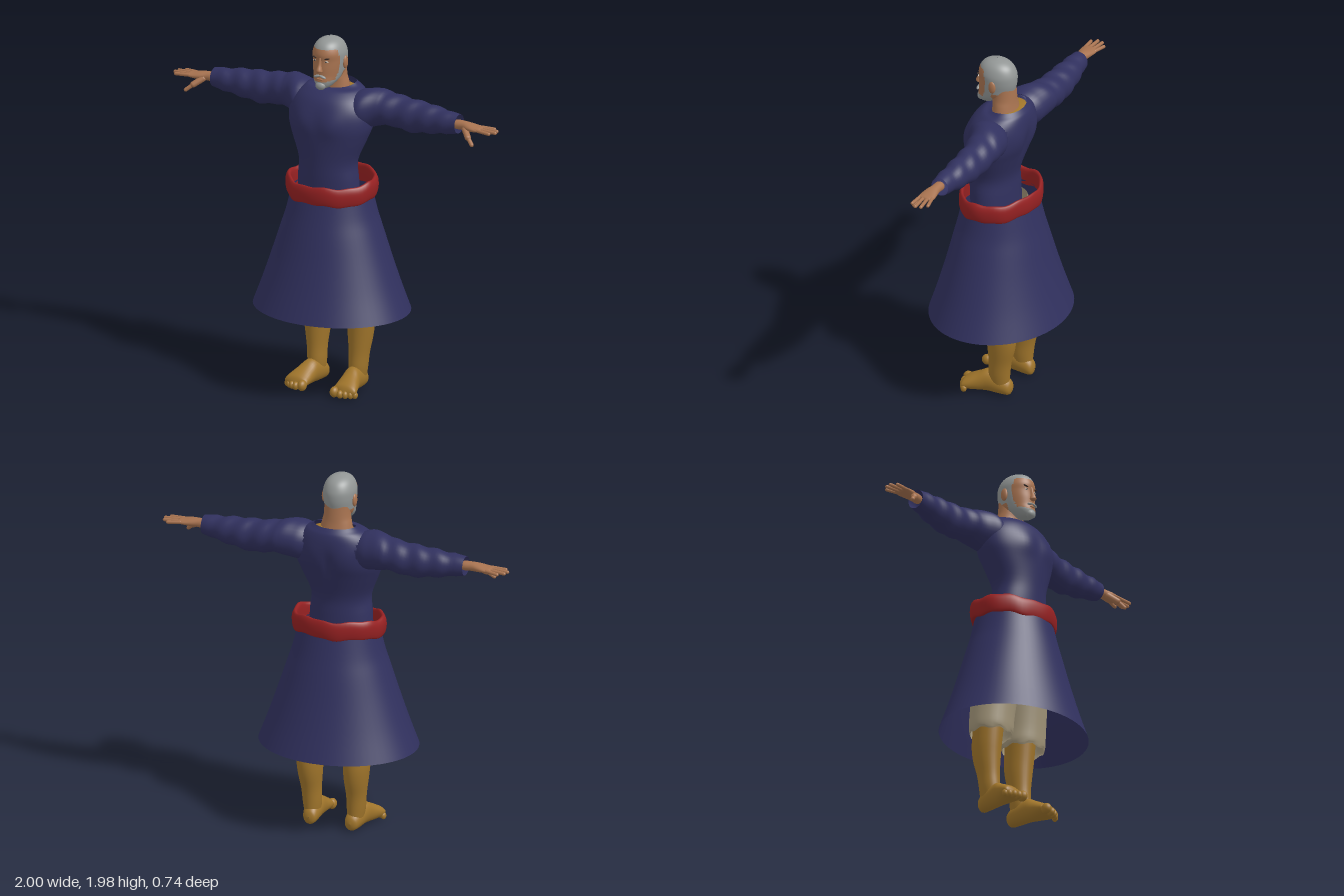
import * as THREE from 'three';

const mat = (name, color, side = THREE.FrontSide) => {
  const m = new THREE.MeshStandardMaterial({ color, side });
  m.name = name;
  return m;
};

// Smooth scalar spline through four neighbours
const spline = (a, b, c, d, t) =>
  b + 0.5 * t * (c - a + t * (2 * a - 5 * b + 4 * c - d + t * (3 * (b - c) + d - a)));

// Skin over elliptical rings [t, centre1, centre2, radius1, radius2] along an axis.
// pick(point) gives the material index of a face, or -1 to leave it out.
function loft(rings, axis = 'y', { n = 32, steps = 4, warp, pick } = {}) {
  const pts = [], lists = [];
  const last = rings.length - 1;
  const rows = last * steps + 1;
  for (let j = 0; j < rows; j++) {
    const k = Math.min(Math.floor(j / steps), last - 1);
    const f = j / steps - k;
    const at = (i) => rings[Math.max(0, Math.min(last, i))];
    const [t, c1, c2, r1, r2] = rings[0].map((_, i) =>
      spline(at(k - 1)[i], at(k)[i], at(k + 1)[i], at(k + 2)[i], f));
    for (let i = 0; i < n; i++) {
      const a = (i / n) * Math.PI * 2;
      const u = c1 + Math.max(r1, 0.0002) * Math.cos(a);
      const v = c2 + Math.max(r2, 0.0002) * Math.sin(a);
      const p = axis === 'y' ? new THREE.Vector3(u, t, v)
        : axis === 'x' ? new THREE.Vector3(t, u, v) : new THREE.Vector3(u, v, t);
      if (warp) warp(p, a, j / (rows - 1));
      pts.push(p);
    }
  }
  for (let j = 0; j < rows - 1; j++) for (let i = 0; i < n; i++) {
    const a = j * n + i, b = j * n + (i + 1) % n, c = a + n, d = b + n;
    const mid = pts[a].clone().add(pts[d]).multiplyScalar(0.5);
    const m = pick ? pick(mid) : 0;
    if (m < 0) continue;
    (lists[m] ||= []).push(...(axis === 'y' ? [a, c, b, b, c, d] : [a, b, c, b, d, c]));
  }
  const g = new THREE.BufferGeometry().setFromPoints(pts);
  g.setIndex(lists.flat());
  let start = 0;
  if (lists.length > 1) lists.forEach((l, m) => { g.addGroup(start, l.length, m); start += l.length; });
  g.computeVertexNormals();
  return g;
}

// Mirror a geometry across x = 0, keeping faces outward
function mirrored(geo) {
  const g = geo.clone().scale(-1, 1, 1);
  const ix = g.index.array;
  for (let i = 0; i < ix.length; i += 3) [ix[i], ix[i + 1]] = [ix[i + 1], ix[i]];
  return g;
}

function capsule(a, b, r) {
  const A = new THREE.Vector3(...a), B = new THREE.Vector3(...b), d = B.clone().sub(A);
  const g = new THREE.CapsuleGeometry(r, d.length(), 5, 12);
  g.applyQuaternion(new THREE.Quaternion().setFromUnitVectors(new THREE.Vector3(0, 1, 0), d.normalize()));
  return g.translate(...A.add(B).multiplyScalar(0.5).toArray());
}

const blob = (x, y, z, rx, ry, rz, tilt = 0) =>
  new THREE.SphereGeometry(1, 20, 14).scale(rx, ry, rz).rotateZ(tilt).translate(x, y, z);

// Ring given by half width, front z and back z
const body = (y, w, front, back) => [y, 0, (front + back) / 2, w, (front - back) / 2];

export function createModel() {
  const model = new THREE.Group();
  model.name = 'robedMan';
  const navy = mat('navyCloth', 0x31315f, THREE.DoubleSide);
  const red = mat('redSash', 0x962122, THREE.DoubleSide);
  const tan = mat('ochreLegs', 0xa0752b);
  const skin = mat('skin', 0xa87350);
  const grey = mat('greyHair', 0x929695);
  const linen = mat('linenTrousers', 0xa3967a, THREE.DoubleSide);
  const dark = mat('darkBrow', 0x3a2c26);
  const white = mat('eyeWhite', 0xd0c8bc);

  const add = (name, geo, material) => {
    const m = new THREE.Mesh(geo, material);
    m.name = name;
    model.add(m);
  };
  const pair = (name, geo, material) => {
    add(name + 'Left', geo, material);
    add(name + 'Right', mirrored(geo), material);
  };

  // Skirt and sash
  add('skirt', loft([[0.46, 0, 0, 0.438, 0.37], [0.6, 0, 0, 0.385, 0.327], [0.75, 0, 0, 0.333, 0.286],
    [0.9, 0, 0, 0.283, 0.25], [1.0, 0, 0, 0.25, 0.226], [1.12, 0, 0, 0.222, 0.2]], 'y', { n: 64 }), navy);
  add('sash', loft([[1.1, 0, 0, 0.225, 0.192], [1.095, 0, 0, 0.248, 0.206], [1.13, 0, 0, 0.258, 0.214],
    [1.17, 0, 0, 0.257, 0.213], [1.195, 0, 0, 0.243, 0.203], [1.18, 0, 0, 0.226, 0.19],
    [1.1, 0, 0, 0.225, 0.192]], 'y', {
    n: 64,
    warp: (p, a) => {
      p.y += -p.z * 0.09 + 0.005 * Math.sin(5 * a + 1) + 0.003 * Math.sin(11 * a);
      p.multiply(new THREE.Vector3(1 + 0.012 * Math.sin(7 * a), 1, 1 + 0.012 * Math.sin(6 * a)));
    },
  }), red);

  // Tunic body, with chest and spine modelling and open armholes
  add('tunicBody', loft([body(1.08, 0.18, 0.15, -0.09), body(1.2, 0.174, 0.158, -0.088),
    body(1.3, 0.168, 0.163, -0.09), body(1.42, 0.215, 0.172, -0.128), body(1.5, 0.243, 0.172, -0.155),
    body(1.58, 0.24, 0.16, -0.165), body(1.64, 0.21, 0.135, -0.165), body(1.68, 0.17, 0.095, -0.157),
    body(1.7, 0.135, 0.058, -0.145), body(1.715, 0.115, 0.035, -0.132)], 'y', {
    n: 64,
    warp: (p) => {
      const bump = (x, y, s) => Math.exp(-(((Math.abs(p.x) - x) / s) ** 2) - ((p.y - y) / 0.07) ** 2);
      if (p.z > 0.05) p.z += 0.016 * bump(0.09, 1.52, 0.07);
      if (p.z < -0.08) p.z += 0.014 * bump(0, 1.5, 0.025) - 0.008 * bump(0.1, 1.56, 0.06);
      if (p.y > 1.69 && p.z > -0.05) p.y -= (p.y - 1.69) * 0.8 * Math.min(1, (p.z + 0.05) / 0.08);
    },
    pick: (p) => (Math.abs(p.x) > 0.12 && Math.hypot(p.y - 1.595, p.z + 0.05) < 0.08 ? -1 : 0),
  }), navy);

  // Sleeves, open at the cuff and softly creased
  pair('sleeve', loft([[0.15, 1.59, -0.025, 0.092, 0.1], [0.2, 1.592, -0.03, 0.108, 0.115],
    [0.27, 1.602, -0.055, 0.1, 0.1], [0.35, 1.597, -0.067, 0.087, 0.09], [0.45, 1.584, -0.066, 0.09, 0.08],
    [0.55, 1.586, -0.065, 0.081, 0.075], [0.65, 1.588, -0.058, 0.068, 0.064],
    [0.757, 1.593, -0.05, 0.053, 0.05]], 'x', {
    steps: 6,
    warp: (p, a) => {
      const fold = 0.004 * Math.sin(p.x * 55 + 2 * Math.sin(a)) * (p.x > 0.3 && p.x < 0.7 ? 1 : 0.3);
      p.y += fold * Math.cos(a);
      p.z += fold * Math.sin(a);
    },
  }), navy);

  // Hands
  pair('palm', loft([[0.735, 1.592, -0.045, 0.001, 0.001], [0.74, 1.592, -0.045, 0.024, 0.026],
    [0.79, 1.594, -0.043, 0.025, 0.028], [0.83, 1.592, -0.04, 0.023, 0.038],
    [0.87, 1.59, -0.04, 0.017, 0.044], [0.9, 1.59, -0.04, 0.012, 0.042],
    [0.908, 1.59, -0.04, 0.001, 0.03]], 'x', { n: 20 }), skin);
  [[-0.074, -0.088, 0.955], [-0.052, -0.062, 0.985], [-0.029, -0.032, 0.992], [-0.008, -0.002, 0.97]]
    .forEach(([z0, z1, x], i) =>
      pair('finger' + (i + 1), capsule([0.885, 1.591, z0], [x - 0.002, 1.587, z1], 0.0095), skin));
  pair('thumbBase', capsule([0.81, 1.582, -0.02], [0.85, 1.552, 0.015], 0.017), skin);
  pair('thumb', capsule([0.85, 1.552, 0.015], [0.885, 1.522, 0.034], 0.011), skin);

  // Trousers under the skirt
  pair('trouserLeg', loft([[0.43, 0.133, -0.045, 0.113, 0.108], [0.46, 0.133, -0.045, 0.122, 0.116],
    [0.55, 0.13, -0.04, 0.122, 0.12], [0.8, 0.112, -0.02, 0.125, 0.13], [1.0, 0.095, 0, 0.115, 0.125],
    [1.1, 0.085, 0.01, 0.1, 0.11]], 'y', {
    warp: (p, a, t) => { if (t < 0.15) p.y += 0.007 * Math.sin(7 * a); },
  }), linen);

  // Legs, feet and toes
  pair('leg', loft([[0.05, 0.125, -0.06, 0.04, 0.055], [0.12, 0.127, -0.06, 0.05, 0.06],
    [0.2, 0.13, -0.066, 0.054, 0.064], [0.3, 0.133, -0.075, 0.066, 0.079],
    [0.4, 0.135, -0.072, 0.073, 0.086], [0.6, 0.13, -0.05, 0.08, 0.085]]), tan);
  pair('foot', loft([[-0.133, 0.12, 0.045, 0.001, 0.001], [-0.12, 0.12, 0.046, 0.034, 0.04],
    [-0.07, 0.124, 0.06, 0.046, 0.058], [0.0, 0.13, 0.07, 0.05, 0.066], [0.05, 0.139, 0.058, 0.058, 0.055],
    [0.1, 0.148, 0.045, 0.067, 0.042], [0.13, 0.15, 0.037, 0.062, 0.03], [0.145, 0.15, 0.034, 0.001, 0.001]],
  'z', { warp: (p) => { p.y = Math.max(p.y, 0.004); } }), tan);
  [[0.1, 0.142, 0.024], [0.137, 0.146, 0.017], [0.165, 0.138, 0.016], [0.19, 0.126, 0.015], [0.21, 0.112, 0.014]]
    .forEach(([x, z, r], i) => pair('toe' + (i + 1), blob(x, r + 0.007, z, r, r + 0.006, r * 1.25), tan));

  // Neck and the undershirt shoulders showing in the collar
  add('neck', loft([[1.66, 0, -0.03, 0.095, 0.07], [1.72, 0, -0.025, 0.083, 0.064],
    [1.76, 0, -0.02, 0.074, 0.065], [1.83, 0, -0.02, 0.07, 0.06]]), skin);
  add('shoulderYoke', blob(0, 1.677, -0.045, 0.135, 0.022, 0.085), tan);

  // Head: skin face, grey hair cap, sideburns and beard
  const isHair = ({ x, y, z }) => {
    if (y > 1.925 + 0.1 * Math.max(0, Math.abs(x) - 0.05)) return 1;
    if (z < 0.02) return y > 1.795 ? 1 : 0;
    if (z < 0.05 + 0.25 * Math.abs(y - 1.85)) return 1;
    return y < 1.757 - 0.3 * Math.max(0, z - 0.1) || (y < 1.775 && z < 0.075) ? 1 : 0;
  };
  add('head', loft([body(1.703, 0.001, 0.092, 0.088), body(1.715, 0.035, 0.122, 0.045),
    body(1.745, 0.062, 0.132, -0.01), body(1.78, 0.077, 0.128, -0.068), body(1.82, 0.084, 0.127, -0.083),
    body(1.86, 0.088, 0.124, -0.089), body(1.9, 0.087, 0.126, -0.086), body(1.94, 0.071, 0.11, -0.066),
    body(1.965, 0.043, 0.077, -0.03), body(1.977, 0.001, 0.025, 0.023)], 'y',
  { n: 72, steps: 8, pick: isHair }), [skin, grey]);
  add('nose', loft([[1.799, 0, 0.13, 0.001, 0.001], [1.806, 0, 0.131, 0.018, 0.017],
    [1.818, 0, 0.132, 0.016, 0.019], [1.845, 0, 0.125, 0.009, 0.013], [1.88, 0, 0.12, 0.007, 0.008],
    [1.89, 0, 0.118, 0.001, 0.001]], 'y', { n: 16 }), skin);
  add('beardTuft', blob(0, 1.726, 0.117, 0.03, 0.025, 0.024), grey);
  add('lips', blob(0, 1.764, 0.13, 0.019, 0.005, 0.006), skin);
  pair('moustache', blob(0.017, 1.779, 0.127, 0.021, 0.007, 0.01, -0.3), grey);
  pair('ear', blob(0.088, 1.842, 0.008, 0.012, 0.036, 0.021), skin);
  pair('eye', blob(0.034, 1.862, 0.116, 0.013, 0.0055, 0.004), white);
  pair('pupil', blob(0.034, 1.862, 0.119, 0.005, 0.005, 0.0025), dark);
  pair('brow', blob(0.035, 1.879, 0.116, 0.021, 0.004, 0.006, 0.18), dark);
  return model;
}
